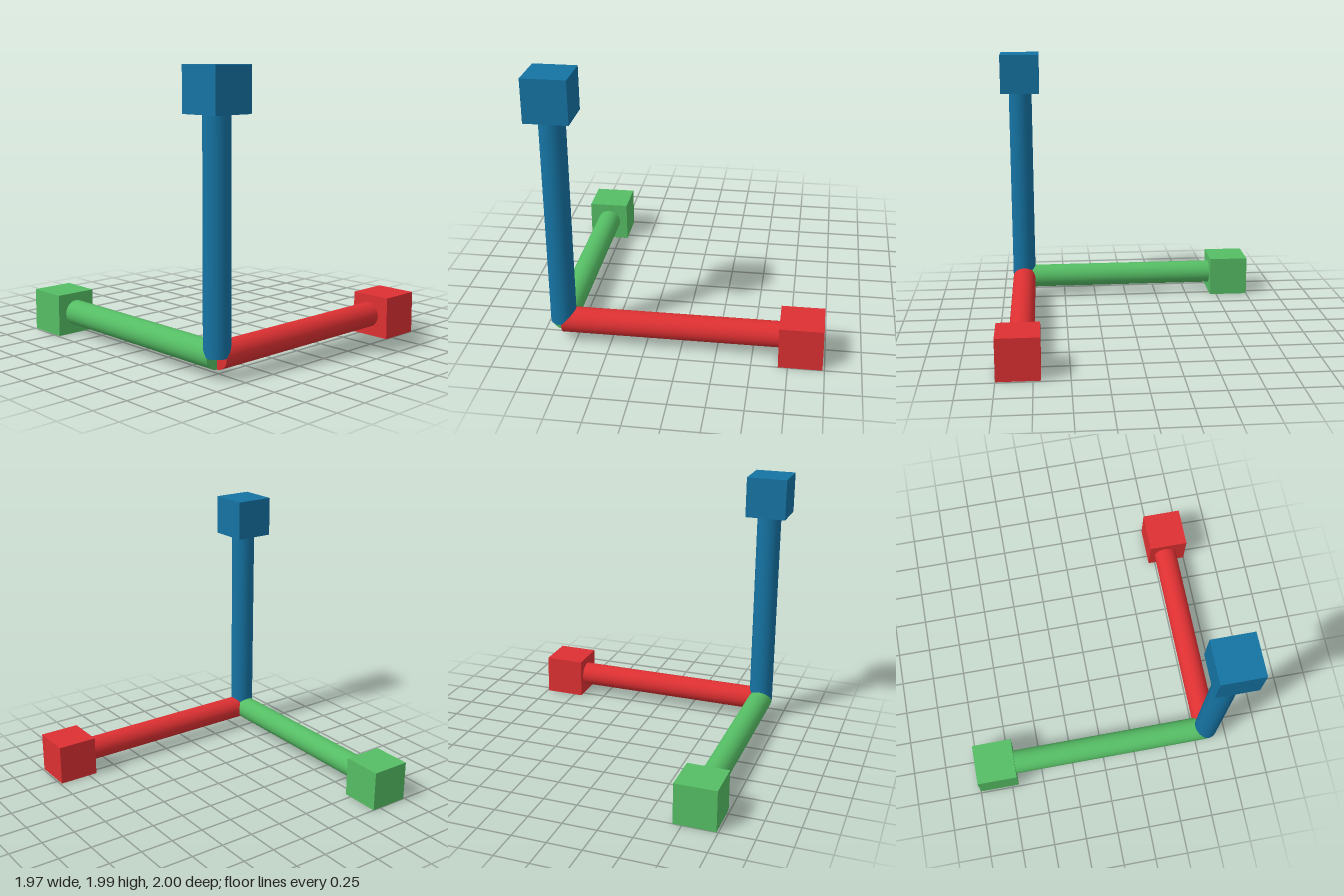
import * as THREE from 'three';

const CUBE = 0.302;
const RADIUS = 0.09;
const CORNER = new THREE.Vector3(-0.837, 0.155, 0.83);

// One axis arm: a round rod from the shared corner, ending in a cube
function createArm(name, color, direction, cubeCenter) {
  const arm = new THREE.Group();
  arm.name = name + 'Arm';
  const material = new THREE.MeshStandardMaterial({ color });
  const length = cubeCenter.clone().sub(CORNER).dot(direction);

  const rod = new THREE.Mesh(new THREE.CylinderGeometry(RADIUS, RADIUS, length, 32), material);
  rod.name = name + 'Rod';
  rod.position.copy(CORNER).addScaledVector(direction, length / 2);
  rod.quaternion.setFromUnitVectors(new THREE.Vector3(0, 1, 0), direction);

  const cube = new THREE.Mesh(new THREE.BoxGeometry(CUBE, CUBE, CUBE), material);
  cube.name = name + 'Cube';
  cube.position.copy(cubeCenter);

  arm.add(rod, cube);
  return arm;
}

export function createModel() {
  const model = new THREE.Group();
  model.name = 'axisMarker';
  const v = (x, y, z) => new THREE.Vector3(x, y, z);
  model.add(
    createArm('upright', 0x1573a3, v(0, 1, 0), v(-0.837, 1.835, 0.83)),
    createArm('side', 0xdd3032, v(1, 0, 0), v(0.836, 0.151, 0.849)),
    createArm('back', 0x55bd64, v(0, 0, -1), v(-0.837, 0.151, -0.849))
  );
  return model;
}
